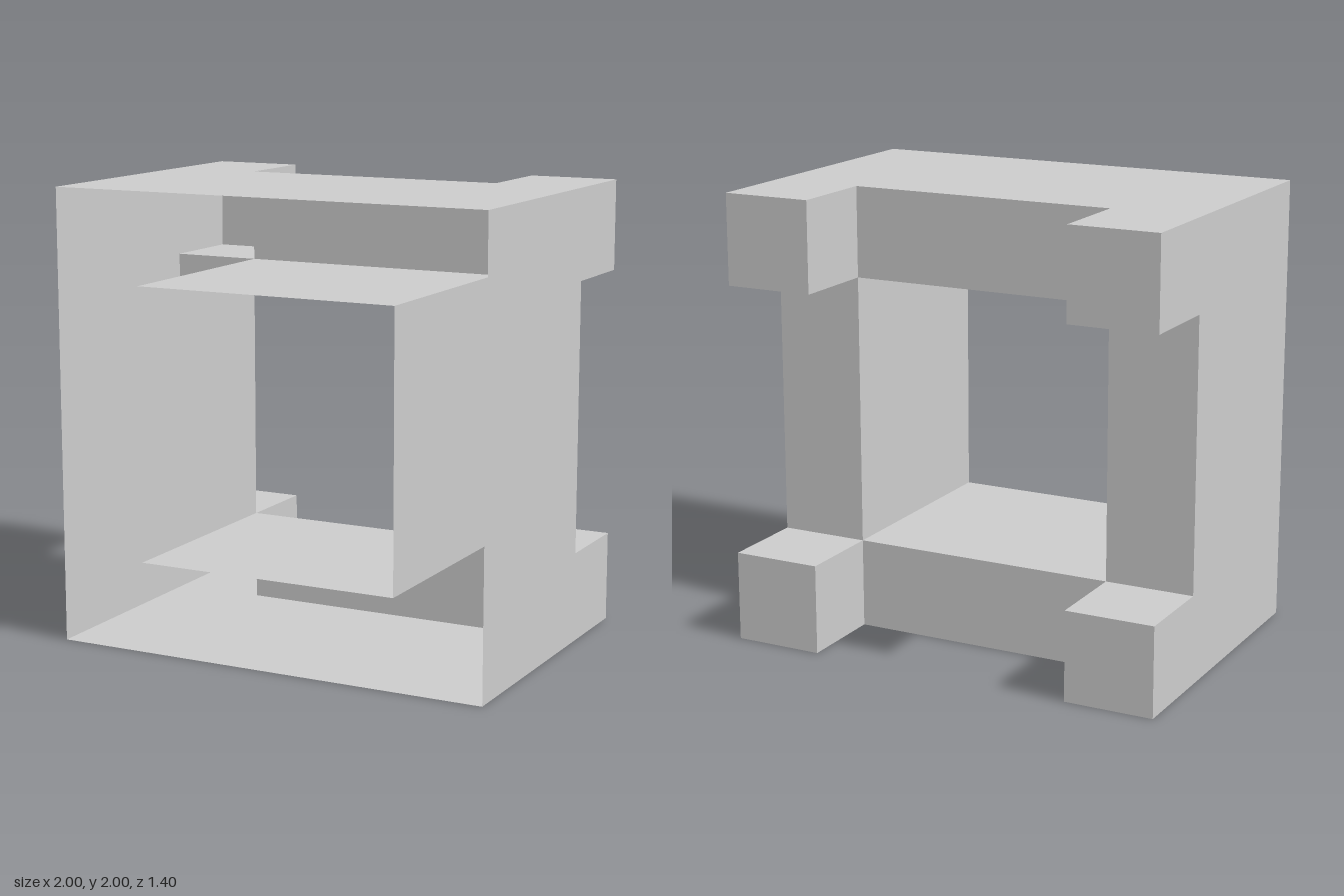
import * as THREE from 'three';

const OUT = 1, INN = 0.6;                    // half sizes of shell and tunnel
const FRONT = 0.7, STEP = -0.3, BACK = -0.7; // depth levels
const WALL = OUT - INN, MID = (OUT + INN) / 2;

export function createModel() {
  const model = new THREE.Group();
  model.name = 'hollowFrame';
  const material = new THREE.MeshStandardMaterial({
    color: 0xcccccc, flatShading: true, side: THREE.DoubleSide,
  });

  const add = (parent, name, geometry, x, y, z) => {
    const mesh = new THREE.Mesh(geometry, material);
    mesh.name = name;
    mesh.position.set(x, y, z);
    parent.add(mesh);
  };

  // U-shaped outer panel, with its notch toward the back
  const outline = new THREE.Shape([
    [-OUT, -FRONT], [OUT, -FRONT], [OUT, -BACK], [INN, -BACK],
    [INN, -STEP], [-INN, -STEP], [-INN, -BACK], [-OUT, -BACK],
  ].map(([x, y]) => new THREE.Vector2(x, y)));
  const panel = new THREE.ShapeGeometry(outline).rotateX(-Math.PI / 2);

  const tunnelWall = new THREE.PlaneGeometry(2 * INN, FRONT - STEP).rotateX(Math.PI / 2);
  const backStrip = new THREE.PlaneGeometry(2 * INN, WALL).rotateY(Math.PI);
  const postCap = new THREE.PlaneGeometry(WALL, WALL).rotateY(Math.PI);

  // The same side repeats four times around the z axis; the front stays open
  ['top', 'left', 'bottom', 'right'].forEach((name, i) => {
    const side = new THREE.Group();
    side.name = name + 'Side';
    side.position.y = 1;
    side.rotation.z = -i * Math.PI / 2;
    add(side, 'outerPanel', panel, 0, OUT, 0);
    add(side, 'tunnelWall', tunnelWall, 0, INN, (FRONT + STEP) / 2);
    add(side, 'backStrip', backStrip, 0, MID, STEP);
    add(side, 'postCap', postCap, MID, MID, BACK);
    // Faces of the two corner posts that look into the notch
    for (const s of [-1, 1]) {
      const face = new THREE.PlaneGeometry(STEP - BACK, WALL).rotateY(-s * Math.PI / 2);
      add(side, 'postInnerFace', face, s * INN, MID, (STEP + BACK) / 2);
    }
    model.add(side);
  });
  return model;
}
